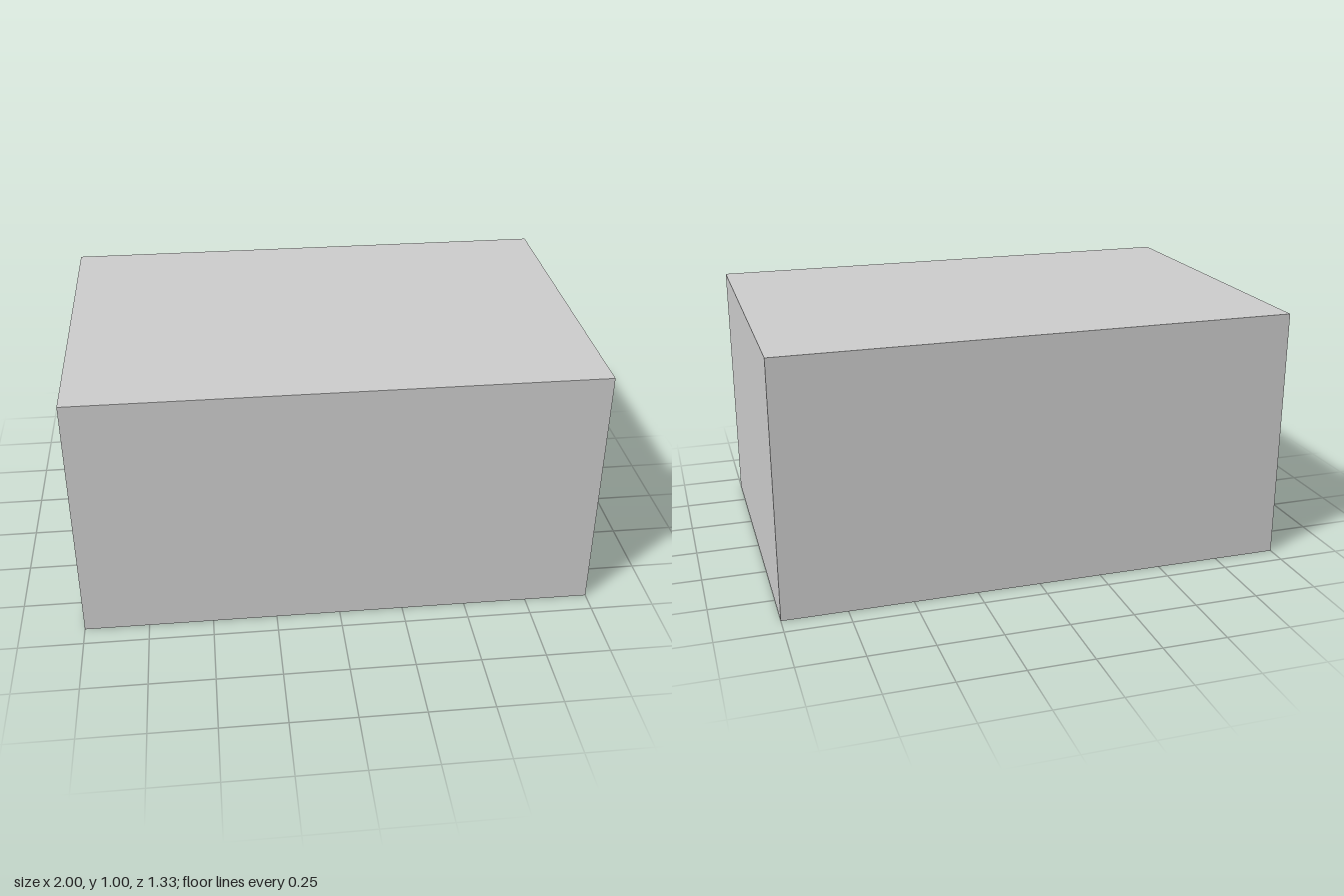
import * as THREE from 'three';

const W = 2, H = 1, D = 1.333, T = 0.05; // outer size and board thickness

export function createModel() {
  const group = new THREE.Group();
  group.name = 'dividedBox';
  const material = new THREE.MeshStandardMaterial({ color: 0xcccccc, flatShading: true });

  const addBoard = (name, w, h, d, x, y, z) => {
    const mesh = new THREE.Mesh(new THREE.BoxGeometry(w, h, d), material);
    mesh.name = name;
    mesh.position.set(x, y, z);
    group.add(mesh);
  };

  const wallH = H - T;

  // Closed top; the underside is open
  addBoard('topPanel', W, T, D, 0, H - T / 2, 0);

  // End walls run the full depth
  for (const [name, s] of [['leftWall', 1], ['rightWall', -1]])
    addBoard(name, T, wallH, D, s * (W - T) / 2, wallH / 2, 0);

  // Front and back walls and the middle divider fit between the ends
  for (const [name, s] of [['frontWall', 1], ['divider', 0], ['backWall', -1]])
    addBoard(name, W - 2 * T, wallH, T, 0, wallH / 2, s * (D - T) / 2);

  return group;
}
